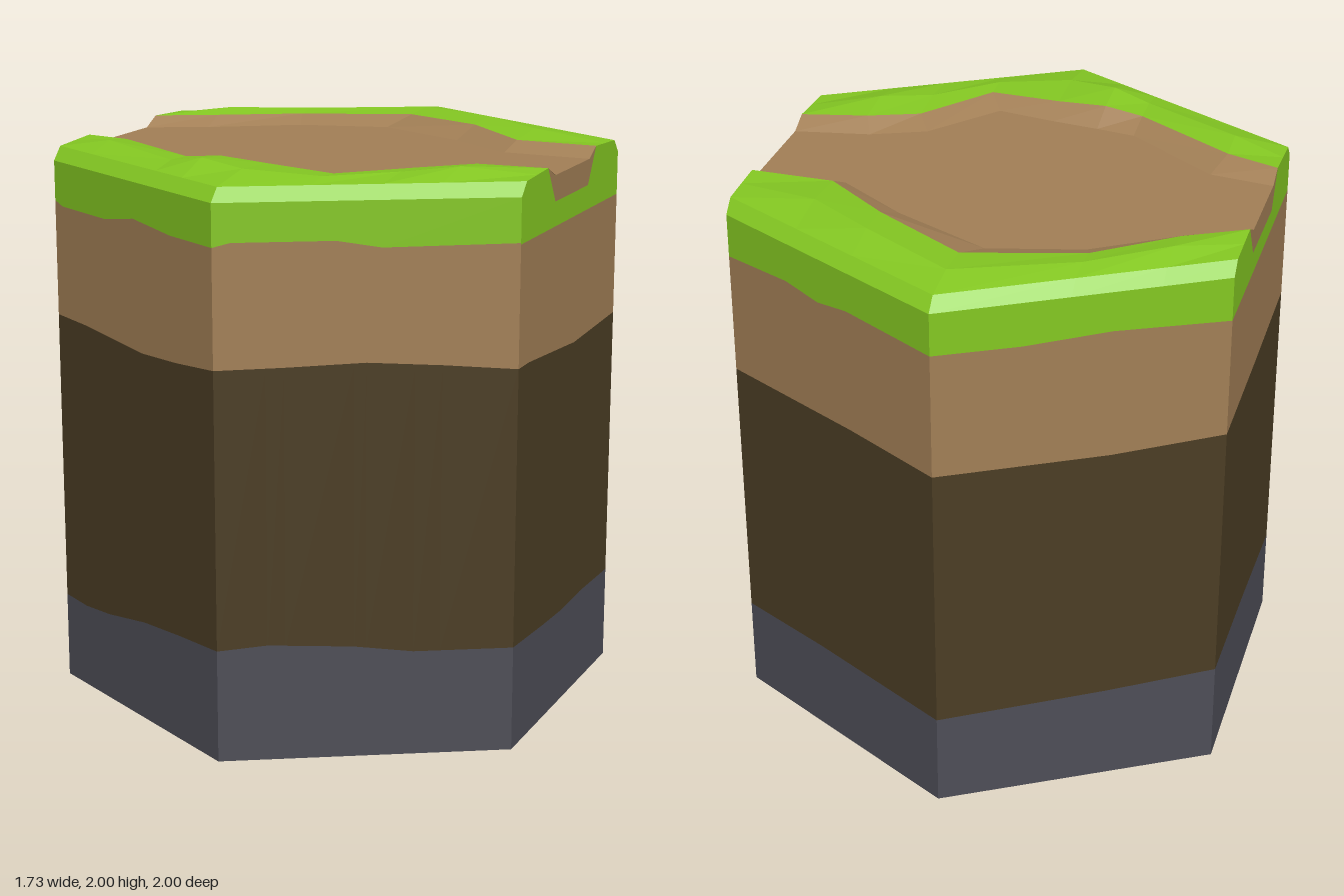
import * as THREE from 'three';

const mat = (name, color) =>
  new THREE.MeshStandardMaterial({ name, color, side: THREE.DoubleSide, flatShading: true });

// Flat-shaded mesh from a list of quads (corners counter-clockwise)
function quadMesh(name, quads, material) {
  const pos = [];
  for (const [a, b, c, d] of quads) pos.push(...a, ...b, ...c, ...a, ...c, ...d);
  const g = new THREE.BufferGeometry();
  g.setAttribute('position', new THREE.Float32BufferAttribute(pos, 3));
  g.computeVertexNormals();
  const m = new THREE.Mesh(g, material);
  m.name = name;
  return m;
}

// Height of a polyline of [t, y] at t
function heightAt(line, t) {
  for (let i = 1; i < line.length; i++) {
    const [t0, y0] = line[i - 1], [t1, y1] = line[i];
    if (t <= t1 + 1e-6) return y0 + (y1 - y0) * (t - t0) / (t1 - t0);
  }
  return line[line.length - 1][1];
}

// Wall strip between two height lines on the side from corner a to corner b
function wallQuads(a, b, low, high) {
  const ts = [...new Set([...low, ...high].map(p => p[0]))].sort((p, q) => p - q);
  const at = (line, t) =>
    [a[0] + (b[0] - a[0]) * t, heightAt(line, t), a[1] + (b[1] - a[1]) * t];
  return ts.slice(1).map((t1, i) => {
    const t0 = ts[i];
    return [at(low, t0), at(low, t1), at(high, t1), at(high, t0)];
  });
}

// Surface across rows of points; rows run from the rim inwards
function loftQuads(rows, flip) {
  const quads = [];
  for (let r = 1; r < rows.length; r++) {
    for (let i = 1; i < rows[r].length; i++) {
      const q = [rows[r - 1][i - 1], rows[r - 1][i], rows[r][i], rows[r][i - 1]];
      quads.push(flip ? q.reverse() : q);
    }
  }
  return quads;
}

const W = 0.866, RIM = 1.91, BED = 1.93;

// Hexagon corners (x, z), left to right as seen from outside
const corners = [[-W, 0.5], [0, 1], [W, 0.5], [W, -0.5], [0, -1], [-W, -0.5]];

// Wavy layer boundaries on each of the six sides
const stoneTop = [
  [[0, .31], [.14, .305], [.3, .32], [.54, .36], [.77, .38], [1, .395]],
  [[0, .395], [.17, .41], [.46, .395], [.66, .37], [1, .37]],
  [[0, .37], [.3, .35], [.5, .34], [.7, .345], [1, .335]],
  [[0, .335], [.4, .345], [1, .34]],
  [[0, .34], [.6, .355], [1, .375]],
  [[0, .375], [.5, .35], [1, .31]],
];
const earthTop = [
  [[0, 1.36], [.2, 1.355], [.56, 1.33], [.77, 1.34], [1, 1.36]],
  [[0, 1.36], [.23, 1.365], [.5, 1.375], [.75, 1.36], [1, 1.34]],
  [[0, 1.34], [.1, 1.34], [.5, 1.31], [.56, 1.305], [1, 1.32]],
  [[0, 1.32], [.6, 1.325], [1, 1.315]],
  [[0, 1.315], [.6, 1.31], [1, 1.33]],
  [[0, 1.33], [.5, 1.34], [1, 1.36]],
];
const dirtTop = [
  [[0, 1.77], [.05, 1.755], [.34, 1.755], [.52, 1.785], [.75, 1.765], [1, 1.765]],
  [[0, 1.765], [.06, 1.78], [.4, 1.78], [.55, 1.755], [1, 1.76]],
  [[0, 1.755], [1, 1.755]],
  [[0, 1.755], [.3, 1.77], [.46, 1.75], [.6, 1.77], [1, 1.76]],
  [[0, 1.76], [.3, 1.755], [.6, 1.77], [1, 1.755]],
  [[0, 1.755], [.5, 1.76], [1, 1.77]],
];
const base = [[0, 0], [1, 0]];
const plainRim = [[0, RIM], [1, RIM]];
const notchRim = [[0, RIM], [.045, 1.955], [.25, 1.965], [.33, 1.84],
  [.67, 1.84], [.75, 1.965], [.955, 1.955], [1, RIM]];
const notchLow = [[.25, 1.965], [.33, 1.84], [.67, 1.84], [.75, 1.965]];
const notchHigh = [[.25, 1.965], [.32, BED], [.68, BED], [.75, 1.965]];

// Each column: x, z of the bank's top, its height, height of the grass mound,
// then x, z of the bank's foot
const frontBank = [
  [-W, .25, 1.965, 1.96, -W, .175],
  [-.68, .31, 1.97, 1.985, -.64, .21],
  [-.32, .55, 1.97, 1.975, -.31, .46],
  [-.18, .57, 1.985, 2.0, -.17, .485],
  [0, .59, 1.975, 1.985, 0, .51],
  [.26, .63, 1.965, 1.97, .21, .55],
  [.46, .38, 1.96, 1.97, .41, .3],
  [.63, .29, 1.97, 1.985, .6, .22],
  [W, .25, 1.965, 1.96, W, .175],
];
const backBank = [
  [-W, -.25, 1.965, 1.96, -W, -.18],
  [-.66, -.36, 1.965, 1.98, -.66, -.28],
  [-.4, -.55, 1.96, 1.97, -.37, -.47],
  [0, -.67, 1.965, 1.975, -.05, -.55],
  [.33, -.47, 1.975, 1.985, .3, -.37],
  [.57, -.26, 1.965, 1.98, .55, -.19],
  [W, -.25, 1.965, 1.96, W, -.18],
];

export function createModel() {
  const stone = mat('stone', 0x4e4e57);
  const earth = mat('dark earth', 0x4b3d24);
  const dirt = mat('dirt', 0xa27f56);
  const grass = mat('grass', 0x84c822);
  const group = new THREE.Group();
  group.name = 'hexTile';

  // Layered side walls, open underneath
  const layers = { stoneLayer: [], earthLayer: [], dirtLayer: [], grassEdge: [], bedEnds: [] };
  corners.forEach((a, i) => {
    const b = corners[(i + 1) % 6];
    const notched = i % 3 === 2;
    layers.stoneLayer.push(...wallQuads(a, b, base, stoneTop[i]));
    layers.earthLayer.push(...wallQuads(a, b, stoneTop[i], earthTop[i]));
    layers.dirtLayer.push(...wallQuads(a, b, earthTop[i], dirtTop[i]));
    layers.grassEdge.push(...wallQuads(a, b, dirtTop[i], notched ? notchRim : plainRim));
    if (notched) layers.bedEnds.push(...wallQuads(a, b, notchLow, notchHigh));
  });
  const layerMats = { stoneLayer: stone, earthLayer: earth, dirtLayer: dirt, grassEdge: grass, bedEnds: dirt };
  for (const name in layers) group.add(quadMesh(name, layers[name], layerMats[name]));

  // Grass tops with bevelled rim, and the sloping banks below them
  for (const [label, bank, s] of [['front', frontBank, 1], ['back', backBank, -1]]) {
    const edge = x => s * (1 - Math.abs(x) * 0.5 / W);
    const rim = bank.map(([x]) => [x, RIM, edge(x)]);
    const bevel = bank.map(([x]) => [x, 1.955, edge(x) - s * 0.045]);
    const mound = bank.map(([x, z, , h]) => [x, h, (edge(x) - s * 0.045 + z) / 2]);
    const top = bank.map(([x, z, y]) => [x, y, z]);
    const foot = bank.map(([, , , , x, z]) => [x, BED, z]);
    group.add(quadMesh(label + 'Grass', loftQuads([rim, bevel, mound, top], s < 0), grass));
    group.add(quadMesh(label + 'Bank', loftQuads([top, foot], s < 0), dirt));
  }

  // Flat bed between the banks
  const outline = [...frontBank, ...[...backBank].reverse()]
    .map(p => new THREE.Vector2(p[4], -p[5]));
  const bed = new THREE.Mesh(new THREE.ShapeGeometry(new THREE.Shape(outline)), dirt);
  bed.geometry.rotateX(-Math.PI / 2);
  bed.position.y = BED;
  bed.name = 'bed';
  group.add(bed);

  return group;
}
